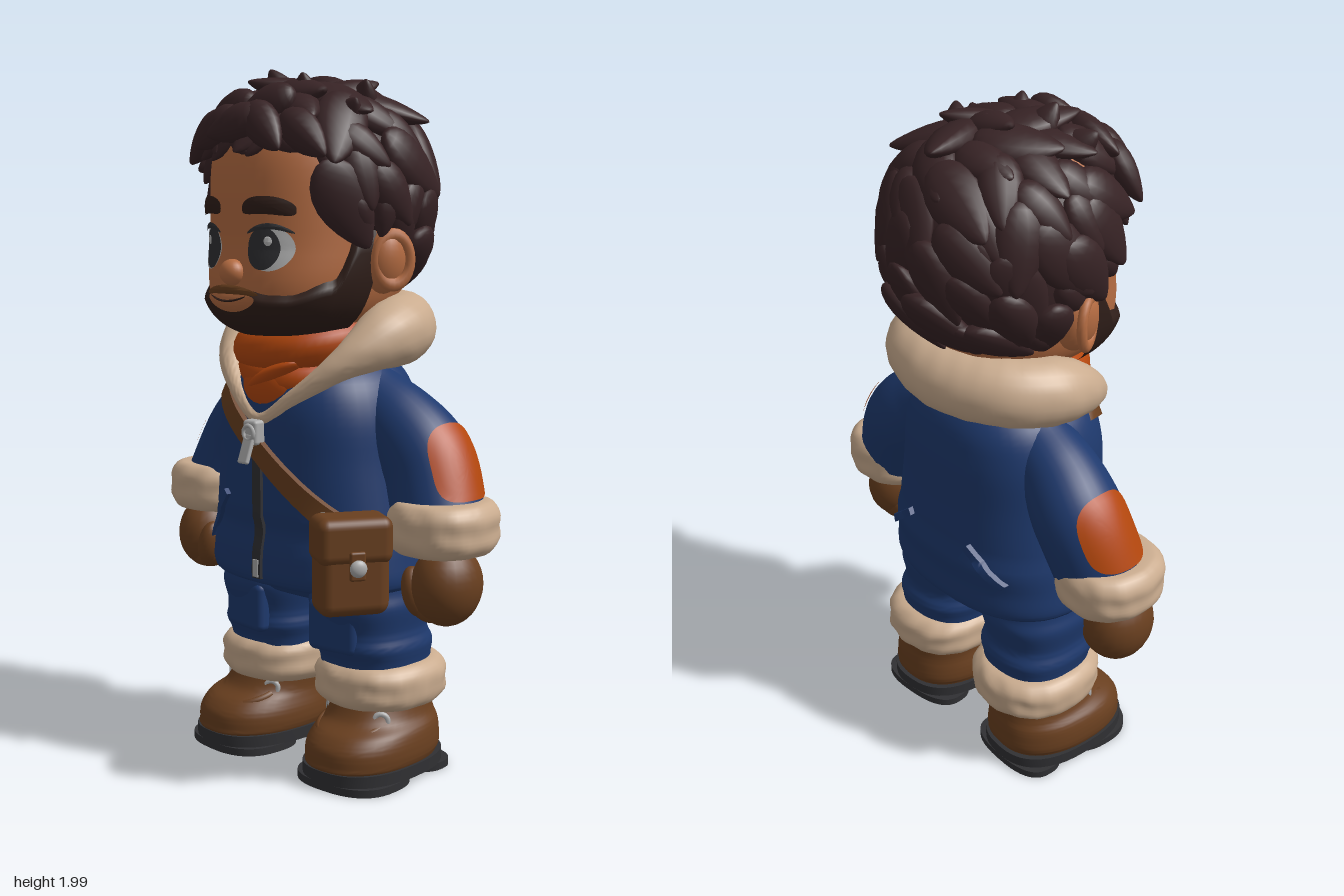
import * as THREE from 'three';
import { mergeVertices, mergeGeometries, toCreasedNormals } from 'three/addons/utils/BufferGeometryUtils.js';
import { RoundedBoxGeometry } from 'three/addons/geometries/RoundedBoxGeometry.js';

const V = (x, y, z) => new THREE.Vector3(x, y, z);
const { clamp, lerp, smoothstep, degToRad } = THREE.MathUtils;
const spow = (v, p) => Math.sign(v) * Math.abs(v) ** p;

const mat = (name, color) => Object.assign(new THREE.MeshStandardMaterial({ color }), { name });
const M = {
  hair: mat('hair', 0x372325), skin: mat('skin', 0xb56c42), navy: mat('navy cloth', 0x1e396d),
  fur: mat('fleece', 0xcaac8f), leather: mat('leather', 0x693f1f), orange: mat('orange cloth', 0xb4470d),
  dark: mat('rubber', 0x303033), metal: mat('metal', 0xacacac), white: mat('eye white', 0xbcbcbc),
  beard: mat('beard', 0x2f1e19),
};

// Weld a geometry and give it smooth normals with sharp corners
function finish(g) {
  g.deleteAttribute('uv');
  g.deleteAttribute('normal');
  return toCreasedNormals(mergeVertices(g, 1e-5), 1);
}
function remap(g, fn) {
  const p = g.attributes.position, v = V();
  for (let i = 0; i < p.count; i++) {
    v.fromBufferAttribute(p, i);
    const q = fn(v, i);
    p.setXYZ(i, q.x, q.y, q.z);
  }
  return finish(g);
}
const fleece = (v, a) => 1 + a * (Math.sin(v.x * 75 + v.y * 30) * Math.sin(v.z * 70 + 1) + 0.6 * Math.sin(v.y * 90 + v.x * 50));

// Stack of superellipse sections [y, rx, rz, cx, cz]
function loft(sections, n = 2.4, bump = 0, steps = 32, seg = 44) {
  const a = new THREE.CatmullRomCurve3(sections.map(s => V(s[0], s[1], s[2])));
  const b = new THREE.CatmullRomCurve3(sections.map(s => V(s[3], s[4], 0)));
  const g = remap(new THREE.CylinderGeometry(1, 1, 1, seg, steps), v => {
    const t = v.y + 0.5, s = a.getPoint(t), c = b.getPoint(t);
    const q = V(s.y * spow(v.x, 2 / n), s.x, s.z * spow(v.z, 2 / n));
    const k = bump ? fleece(q, bump) : 1;
    return V(c.x + q.x * k, q.y, c.y + q.z * k);
  });
  const front = (x, y, side = 1) => {
    let t = 0;
    while (t < 1 && a.getPoint(t).x < y) t += 0.005;
    const s = a.getPoint(Math.min(t, 1)), c = b.getPoint(Math.min(t, 1));
    return c.y + side * s.z * Math.max(0, 1 - Math.abs((x - c.x) / s.y) ** n) ** (1 / n);
  };
  return { g, front };
}
// Tube whose radius follows a rule
function tube(curve, radius, steps, seg, closed = false, bump = 0) {
  return remap(new THREE.TubeGeometry(curve, steps, 1, seg, closed), (v, i) => {
    const u = Math.floor(i / (seg + 1)) / steps, P = curve.getPointAt(closed ? u % 1 : u);
    const r = radius(u, P) * (bump ? fleece(v.clone().sub(P).multiplyScalar(0.1).add(P), bump) : 1);
    return v.clone().sub(P).multiplyScalar(r).add(P);
  });
}
const place = (g, x, y, z, rx = 0, ry = 0, rz = 0) =>
  g.applyMatrix4(new THREE.Matrix4().compose(V(x, y, z), new THREE.Quaternion().setFromEuler(new THREE.Euler(rx, ry, rz)), V(1, 1, 1)));
const ball = (x, y, z, rx, ry, rz, rot = 0) => place(new THREE.SphereGeometry(1, 24, 16).scale(rx, ry, rz), x, y, z, 0, 0, rot);
function mirrored(g) {
  const m = (g.index ? g.clone() : mergeVertices(g)).scale(-1, 1, 1), a = m.index.array;
  for (let i = 0; i < a.length; i += 3) [a[i], a[i + 1]] = [a[i + 1], a[i]];
  return m;
}

// Head surface, shared by face, beard and painted features
const HN = 2.3, HA = 0.255, HC = 0.295;
const headK = y => Math.max(0, 1 - ((y - 1.58) / 0.34) ** 4) ** (1 / HN);
const headZ = y => 0.02 + 0.05 * clamp((1.5 - y) / 0.25, 0, 1);
function headPoint(az, y, off = 0) {
  const s = Math.sin(az), c = Math.cos(az);
  const r = headK(y) / (Math.abs(s / HA) ** HN + Math.abs(c / HC) ** HN) ** (1 / HN) + off;
  return V(r * s, y, r * c + headZ(y));
}
const faceZ = (x, y) => HC * Math.max(0, headK(y) ** HN - Math.abs(x / HA) ** HN) ** (1 / HN) + headZ(y);
const grid = (nu, nv, f) => remap(new THREE.PlaneGeometry(1, 1, nu, nv), v => f(v.x + 0.5, v.y + 0.5));
// Thin plate following the face
const facePlate = (cx, cy, rx, ry, off, bend = 0, n = 2, tilt = 0) =>
  remap(new THREE.RingGeometry(0.001, 1, 36, 5), v => {
    const r = Math.hypot(v.x, v.y), dx = rx * spow(v.x / r, 2 / n) * r;
    const x = cx + dx, y = cy + ry * spow(v.y / r, 2 / n) * r + bend * dx * dx + tilt * dx;
    return V(x, y, faceZ(x, y) + off * (1.15 - 0.3 * r * r));
  });

// Hair volume: lower edge and surface by azimuth
const hairEdge = az => {
  const d = Math.abs(az) * 180 / Math.PI;
  return 1.73 - 0.2 * smoothstep(d, 50, 64) - 0.16 * smoothstep(d, 92, 108);
};
function hairPoint(az, y, s = 1) {
  const h = y - 1.66, k = h > 0 ? Math.sqrt(Math.max(0, 1 - (h / 0.275) ** 2)) : Math.sqrt(1 - Math.abs(h / 0.345) ** 2.8);
  return V(0.295 * k * s * Math.sin(az), y, 0.315 * k * s * Math.cos(az) + 0.003);
}
function hairTufts() {
  let seed = 7;
  const rnd = () => (seed = (seed * 16807) % 2147483647) / 2147483647;
  const base = remap(new THREE.SphereGeometry(1, 14, 11), v => {
    const t = (v.y + 1) / 2, s = 1 - 0.55 * t * t;
    return V(v.x * s, v.y, v.z * s + 0.5 * t * t);
  });
  const out = [];
  const add = (az, y, size, thick) => {
    const p = hairPoint(az, y), n = V(p.x / 0.09, (y - 1.66) / 0.085, p.z / 0.105).normalize();
    const down = V(0, -1, 0).addScaledVector(V(Math.cos(az), 0, -Math.sin(az)), 0.3 + 1.6 * (rnd() - 0.5));
    const flow = down.addScaledVector(n, -down.dot(n)).normalize();
    if (y > 1.86) flow.addScaledVector(n, 0.1 + 0.3 * rnd()).normalize();
    const X = flow.clone().cross(n).normalize(), Z = X.clone().cross(flow);
    const w = size * (0.8 + 0.45 * rnd());
    const m = new THREE.Matrix4().makeBasis(X.multiplyScalar(w * 0.75), flow.multiplyScalar(w * 1.15), Z.multiplyScalar(thick * (0.8 + 0.4 * rnd())));
    out.push(base.clone().applyMatrix4(m.setPosition(p)));
  };
  for (let i = 0; i < 95; i++) {
    const h = 1 - 2 * (i + 0.5) / 95, az = ((i * 2.39996 + 0.3 * rnd()) % (2 * Math.PI)) - Math.PI;
    const y = 1.66 + h * (h > 0 ? 0.275 : 0.28);
    if (y > hairEdge(az) + 0.06) add(az, y, 0.095, 0.042);
  }
  for (let i = 0; i < 26; i++) {
    const az = (i / 26) * 2 * Math.PI - Math.PI;
    add(az, hairEdge(az) + 0.065, 0.065, 0.032);
  }
  // Swept fringe locks [x, y, z, lean]
  for (const [x, y, z, lean] of [[-0.2, 1.8, 0.23, 2.4], [-0.11, 1.82, 0.275, 2.1], [-0.01, 1.83, 0.3, 1.9], [0.09, 1.82, 0.285, -2.3], [0.19, 1.8, 0.235, -2.2], [0.04, 1.88, 0.23, 2], [-0.13, 1.88, 0.19, 1.7]])
    out.push(place(base.clone().scale(0.06, 0.095, 0.045), x, y, z, -0.25, x * 2, lean));
  // Upright locks on the crown
  for (const [x, y, z, lean] of [[-0.07, 1.94, 0.07, 0.35], [0.06, 1.92, 0.1, -0.2], [0.14, 1.91, -0.05, -0.5], [-0.17, 1.9, 0.1, 0.8], [0.02, 1.92, -0.08, 0.2], [0.21, 1.86, 0.08, -0.8]])
    out.push(place(base.clone().scale(0.05, 0.06, 0.04), x, y, z, 0.15, 0, lean));
  return mergeGeometries(out);
}

export function createModel() {
  const root = new THREE.Group();
  root.name = 'winterExplorer';
  const add = (name, g, m, parent = root) => {
    const mesh = new THREE.Mesh(g, m);
    mesh.name = name;
    parent.add(mesh);
  };
  const both = (name, g, m) => { add(name + 'Left', g, m); add(name + 'Right', mirrored(g), m); };

  // Head and face
  add('head', grid(56, 32, (u, v) => headPoint((u - 0.5) * 2 * Math.PI, 1.58 - 0.34 * Math.cos(Math.PI * v))), M.skin);
  add('neck', place(new THREE.CylinderGeometry(0.12, 0.13, 0.2, 24), 0, 1.22, 0), M.skin);
  add('nose', ball(0, 1.437, 0.328, 0.038, 0.036, 0.034), M.skin);
  both('ear', ball(0.272, 1.465, 0.01, 0.05, 0.09, 0.062, -0.15), M.skin);
  both('earRim', place(new THREE.TorusGeometry(0.05, 0.014, 10, 24).scale(1, 1.35, 1), 0.305, 1.47, 0.015, 0, 1.1, 0), M.skin);
  both('eyeWhite', facePlate(0.115, 1.502, 0.06, 0.06, 0.006), M.white);
  both('iris', facePlate(0.1, 1.502, 0.045, 0.057, 0.01), M.dark);
  both('eyeGlint', facePlate(0.116, 1.522, 0.011, 0.013, 0.014), M.white);
  both('lashLine', facePlate(0.115, 1.562, 0.062, 0.008, 0.012, -5), M.dark);
  both('eyebrow', facePlate(0.113, 1.618, 0.07, 0.024, 0.02, -2.5, 3, -0.04), M.beard);
  add('beard', grid(64, 16, (u, v) => {
    const az = degToRad((u - 0.5) * 172), d = Math.abs(az) * 180 / Math.PI;
    const top = 1.395 + 0.04 * smoothstep(d, 35, 60) + 0.15 * smoothstep(d, 60, 74) - 0.015 * smoothstep(d, 8, 25);
    return headPoint(az, lerp(1.246, top, v), 0.026 * Math.min(1, (1 - v) * 6) - 0.004);
  }), M.beard);
  add('moustache', facePlate(0, 1.391, 0.1, 0.013, 0.024, -1.2), M.leather);
  add('lips', facePlate(0, 1.354, 0.09, 0.025, 0.03, 1.5), M.skin);
  add('mouthLine', facePlate(0, 1.36, 0.07, 0.004, 0.035, 3), M.beard);

  // Hair
  add('hairCap', grid(72, 20, (u, v) => {
    const az = (u - 0.5) * 2 * Math.PI, e = hairEdge(az);
    return v === 0 ? hairPoint(az, e, 0.75) : hairPoint(az, e + (1.935 - e) * Math.sin(v * Math.PI / 2));
  }), M.hair);
  add('hairTufts', hairTufts(), M.hair);

  // Jacket
  const torso = loft([[0.55, 0.3, 0.21, 0, -0.015], [0.553, 0.335, 0.243, 0, -0.015], [0.575, 0.345, 0.253, 0, -0.015], [0.64, 0.34, 0.252, 0, -0.015],
    [0.75, 0.325, 0.25, 0, -0.015], [0.9, 0.305, 0.246, 0, -0.01], [1.04, 0.29, 0.242, 0, -0.008],
    [1.13, 0.255, 0.22, 0, -0.012], [1.21, 0.17, 0.15, 0, -0.03]], 2.4, 0, 40);
  add('jacketBody', torso.g, M.navy);
  const ribbon = (x0, y0, x1, y1, w, d, side = 1) => {
    const dir = V(x1 - x0, y1 - y0, 0).normalize();
    return remap(new THREE.BoxGeometry(1, w, d, 24, 2, 1), v => {
      const x = lerp(x0, x1, v.x + 0.5) - dir.y * v.y, y = lerp(y0, y1, v.x + 0.5) + dir.x * v.y;
      return V(x, y, torso.front(x, y, side) + v.z + side * d * 0.3);
    });
  };
  both('frontPocketWelt', ribbon(0.27, 0.65, 0.14, 0.8, 0.022, 0.02), M.navy);
  both('backPocketWelt', ribbon(0.24, 0.68, 0.12, 0.78, 0.022, 0.02, -1), M.navy);
  add('zipperTape', ribbon(0, 0.57, 0, 1, 0.034, 0.012), M.dark);
  add('zipperStop', place(new THREE.BoxGeometry(0.02, 0.05, 0.01), 0, 0.6, 0.246), M.metal);
  add('zipperSlider', place(new RoundedBoxGeometry(0.054, 0.07, 0.04, 2, 0.01), 0, 0.99, 0.252), M.metal);
  add('zipperPull', place(new RoundedBoxGeometry(0.04, 0.085, 0.014, 2, 0.006), 0, 0.945, 0.28, -0.35), M.metal);
  add('zipperRing', place(new THREE.TorusGeometry(0.02, 0.006, 8, 20), 0, 0.99, 0.273), M.metal);

  // Sleeves, patches, cuffs and gloves
  const arm = new THREE.CatmullRomCurve3([V(0.17, 1.08, -0.04), V(0.28, 1.01, -0.05), V(0.37, 0.91, -0.06), V(0.44, 0.75, -0.035)]);
  const armR = u => 0.1 + 0.03 * smoothstep(u, 0, 0.6);
  both('sleeve', tube(arm, armR, 30, 32), M.navy);
  both('elbowPatch', remap(new THREE.RingGeometry(0.001, 1, 40, 6), v => {
    const r = Math.hypot(v.x, v.y), u = 0.71 - 0.21 * spow(v.y / r, 0.7) * r, phi = 0.82 * spow(v.x / r, 0.7) * r;
    const T = arm.getTangentAt(u), N = V(-T.y, T.x, 0).normalize();
    return arm.getPointAt(u).addScaledVector(N, (armR(u) + 0.006) * Math.cos(phi)).add(V(0, 0, -(armR(u) + 0.006) * Math.sin(phi)));
  }), M.orange);
  const cuff = (x, y, z, rx, rz, h) => loft([[-h, 0.6, 0.6], [-h * 0.93, 0.86, 0.86], [-h * 0.5, 1, 1], [0, 1, 1], [h * 0.5, 1, 1], [h * 0.93, 0.86, 0.86], [h, 0.6, 0.6]]
    .map(s => [s[0] + y, s[1] * rx, s[2] * rz, x, z]), 2.2, 0.014, 20, 56).g;
  both('sleeveCuff', cuff(0.46, 0.752, -0.027, 0.143, 0.152, 0.073), M.fur);
  both('glove', ball(0.488, 0.595, -0.01, 0.092, 0.115, 0.108), M.leather);
  both('gloveThumb', ball(0.425, 0.575, 0.05, 0.034, 0.07, 0.04, 0.25), M.leather);
  for (let i = 0; i < 4; i++) both('gloveFinger' + (i + 1), ball(0.47, 0.545, 0.045 - i * 0.036, 0.066, 0.05, 0.027), M.leather);

  // Collar and scarf
  const half = [[0.11, 1.09, 0.205], [0.215, 1.18, 0.135], [0.252, 1.25, 0], [0.19, 1.275, -0.15]];
  const collar = new THREE.CatmullRomCurve3([V(0, 1.025, 0.22), ...half.map(p => V(...p)), V(0, 1.275, -0.22),
    ...half.slice().reverse().map(p => V(-p[0], p[1], p[2]))], true);
  add('collar', tube(collar, (u, P) => lerp(0.098, 0.02, smoothstep(P.z, -0.08, 0.25)), 110, 26, true, 0.012), M.fur);
  const wrap = (R, r, y, z, tx, tz) => place(new THREE.TorusGeometry(R, r, 16, 48).rotateX(Math.PI / 2), 0, y, z, tx, 0, tz);
  add('scarfUpper', wrap(0.15, 0.062, 1.235, 0.045, 0.12, 0.08), M.orange);
  add('scarfMiddle', wrap(0.13, 0.058, 1.17, 0.055, 0.2, -0.18), M.orange);
  add('scarfLower', ball(0, 1.12, 0.155, 0.115, 0.1, 0.088), M.orange);
  add('scarfFold', ball(0.02, 1.145, 0.19, 0.11, 0.028, 0.06, 0.45), M.orange);

  // Trousers
  add('trouserHips', loft([[0.5, 0.24, 0.14, 0, -0.03], [0.54, 0.31, 0.19, 0, -0.03], [0.64, 0.31, 0.19, 0, -0.02]]).g, M.navy);
  both('trouserLeg', loft([[0.26, 0.14, 0.15, 0.19, -0.05], [0.34, 0.148, 0.155, 0.19, -0.045], [0.38, 0.155, 0.168, 0.188, -0.038],
    [0.42, 0.146, 0.158, 0.186, -0.032], [0.5, 0.157, 0.175, 0.183, -0.028], [0.54, 0.152, 0.168, 0.178, -0.025], [0.61, 0.15, 0.17, 0.175, -0.02]]).g, M.navy);
  both('kneePocket', place(new RoundedBoxGeometry(0.17, 0.15, 0.05, 4, 0.022), 0.18, 0.44, 0.112, 0, 0.12), M.navy);
  both('trouserCuff', cuff(0.2, 0.267, -0.058, 0.175, 0.188, 0.066), M.fur);

  // Boots, turned slightly outward
  const boot = (name, g, m) => both(name, place(g, 0.224, 0, 0, 0, 0.06), m);
  boot('boot', loft([[0.04, 0.145, 0.205, 0, 0], [0.07, 0.157, 0.217, 0, 0], [0.11, 0.157, 0.215, 0, -0.002], [0.145, 0.148, 0.198, 0, -0.015],
    [0.175, 0.134, 0.168, -0.008, -0.04], [0.25, 0.125, 0.145, -0.02, -0.06]], 2.3).g, M.leather);
  const slab = (y0, y1, rx, rz, cz, n) => loft([[y0, rx, rz, 0, cz], [(y0 + y1) / 2, rx, rz, 0, cz], [y1, rx, rz, 0, cz]], n, 0, 2).g;
  boot('sole', slab(0.02, 0.055, 0.16, 0.22, 0, 2.5), M.dark);
  boot('soleTread', slab(0, 0.022, 0.158, 0.133, 0.086, 2.6), M.dark);
  boot('heelTread', slab(0, 0.022, 0.148, 0.083, -0.137, 2.6), M.dark);
  for (let i = 0; i < 2; i++)
    boot('bootLace' + (i + 1), place(new THREE.TorusGeometry(0.1, 0.011, 8, 28, Math.PI).rotateX(Math.PI / 2), -0.01, 0.195 - i * 0.03, 0.025 + i * 0.05, 0.3), M.leather);
  for (const s of [-1, 1])
    boot(s < 0 ? 'innerBuckle' : 'outerBuckle', place(new THREE.TorusGeometry(0.02, 0.008, 8, 18), -0.01 + s * 0.095, 0.182, 0.068, 0, s * 0.7), M.metal);

  // Shoulder bag
  add('bagStrap', ribbon(-0.23, 1.13, 0.26, 0.74, 0.058, 0.022), M.leather);
  add('strapRing', place(new THREE.TorusGeometry(0.025, 0.007, 8, 20), 0.225, 0.755, 0.2, 0, 0.5), M.metal);
  const bag = new THREE.Group();
  bag.name = 'shoulderBag';
  bag.position.set(0.315, 0.655, 0.19);
  bag.rotation.y = 1.05;
  root.add(bag);
  add('bagBody', new RoundedBoxGeometry(0.2, 0.27, 0.12, 4, 0.035), M.leather, bag);
  add('bagFlap', place(new RoundedBoxGeometry(0.212, 0.13, 0.134, 4, 0.03), 0, 0.073, 0.002), M.leather, bag);
  add('bagTab', place(new RoundedBoxGeometry(0.045, 0.08, 0.016, 3, 0.007), 0, 0.01, 0.07), M.leather, bag);
  add('bagClasp', ball(0, 0.005, 0.078, 0.024, 0.024, 0.014), M.metal, bag);
  return root;
}
